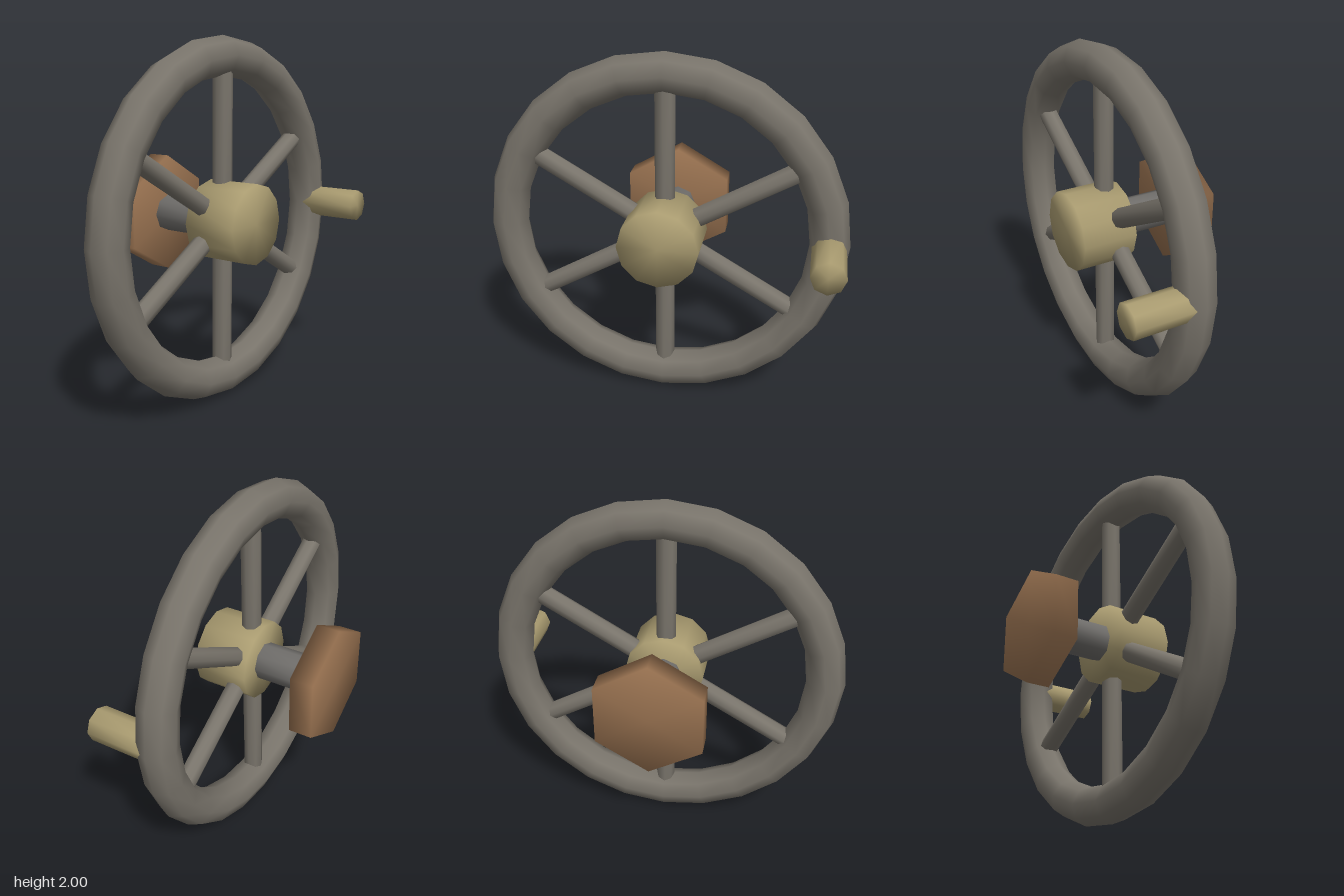
import * as THREE from 'three';
import { mergeVertices } from 'three/addons/utils/BufferGeometryUtils.js';

function material(name, color) {
  const m = new THREE.MeshStandardMaterial({ color });
  m.name = name;
  return m;
}

// Low-poly cylinder whose normals run smoothly over the rims of its caps
function softCylinder(radius, length, sides) {
  let g = new THREE.CylinderGeometry(radius, radius, length, sides);
  g.deleteAttribute('normal');
  g.deleteAttribute('uv');
  g = mergeVertices(g);
  g.computeVertexNormals();
  return g;
}

export function createModel() {
  const iron = material('warm grey iron', 0x79746b);
  const steel = material('grey steel', 0x706e6b);
  const brass = material('dull brass', 0xa99b70);
  const copper = material('brown copper', 0x96704f);

  const model = new THREE.Group();
  model.name = 'handwheel';
  const AXIS_Y = 1;
  const RIM_Z = 0.08;

  const add = (name, geometry, mat) => {
    const mesh = new THREE.Mesh(geometry, mat);
    mesh.name = name;
    model.add(mesh);
    return mesh;
  };

  // Cylinder lying along z between two depths
  const addAxial = (name, radius, sides, z0, z1, mat, x = 0) => {
    const g = softCylinder(radius, z1 - z0, sides).rotateX(Math.PI / 2);
    add(name, g, mat).position.set(x, AXIS_Y, (z0 + z1) / 2);
  };

  // Rim
  add('rim', new THREE.TorusGeometry(0.893, 0.107, 8, 24), iron)
    .position.set(0, AXIS_Y, RIM_Z);

  // Six spokes from the hub into the rim
  const spoke = softCylinder(0.055, 0.77, 8).translate(0, 0.485, 0);
  for (let i = 0; i < 6; i++) {
    const mesh = add('spoke', spoke, iron);
    mesh.position.set(0, AXIS_Y, RIM_Z);
    mesh.rotation.z = (i * Math.PI) / 3;
  }

  // Hub, shaft, mounting flange and crank grip
  addAxial('hub', 0.222, 12, 0, 0.31, brass);
  addAxial('shaft', 0.105, 8, -0.38, 0.08, steel);
  addAxial('flange', 0.333, 6, -0.445, -0.315, copper);
  addAxial('grip', 0.092, 8, 0.1, 0.445, brass, 0.89);

  return model;
}
